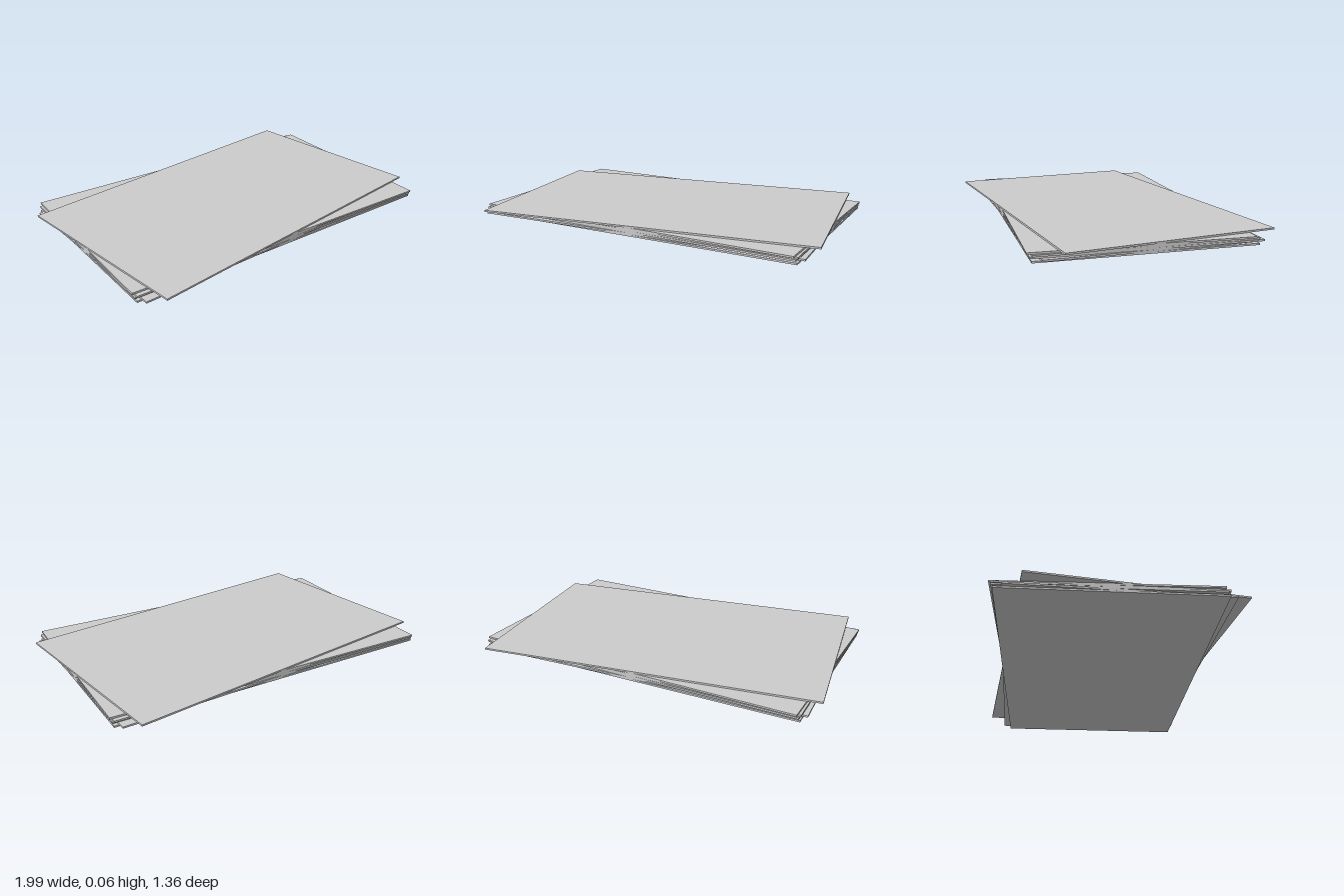
import * as THREE from 'three';

// A loose stack of thin sheets, each turned slightly about the vertical axis.
export function createModel() {
  const model = new THREE.Group();
  model.name = 'sheetStack';
  const material = new THREE.MeshStandardMaterial({ color: 0xcccccc, flatShading: true });

  const width = 1.855, depth = 1.108, thickness = 0.0093;
  const sheet = new THREE.BoxGeometry(width, thickness, depth);

  // Turn of each sheet in radians, bottom to top
  const turns = [0.003, 0.0487, -0.006, 0.007, -0.019, 0.144];
  turns.forEach((turn, i) => {
    const mesh = new THREE.Mesh(sheet, material);
    mesh.name = `sheet${i + 1}`;
    mesh.position.y = (i + 0.5) * thickness;
    mesh.rotation.y = turn;
    model.add(mesh);
  });
  return model;
}
